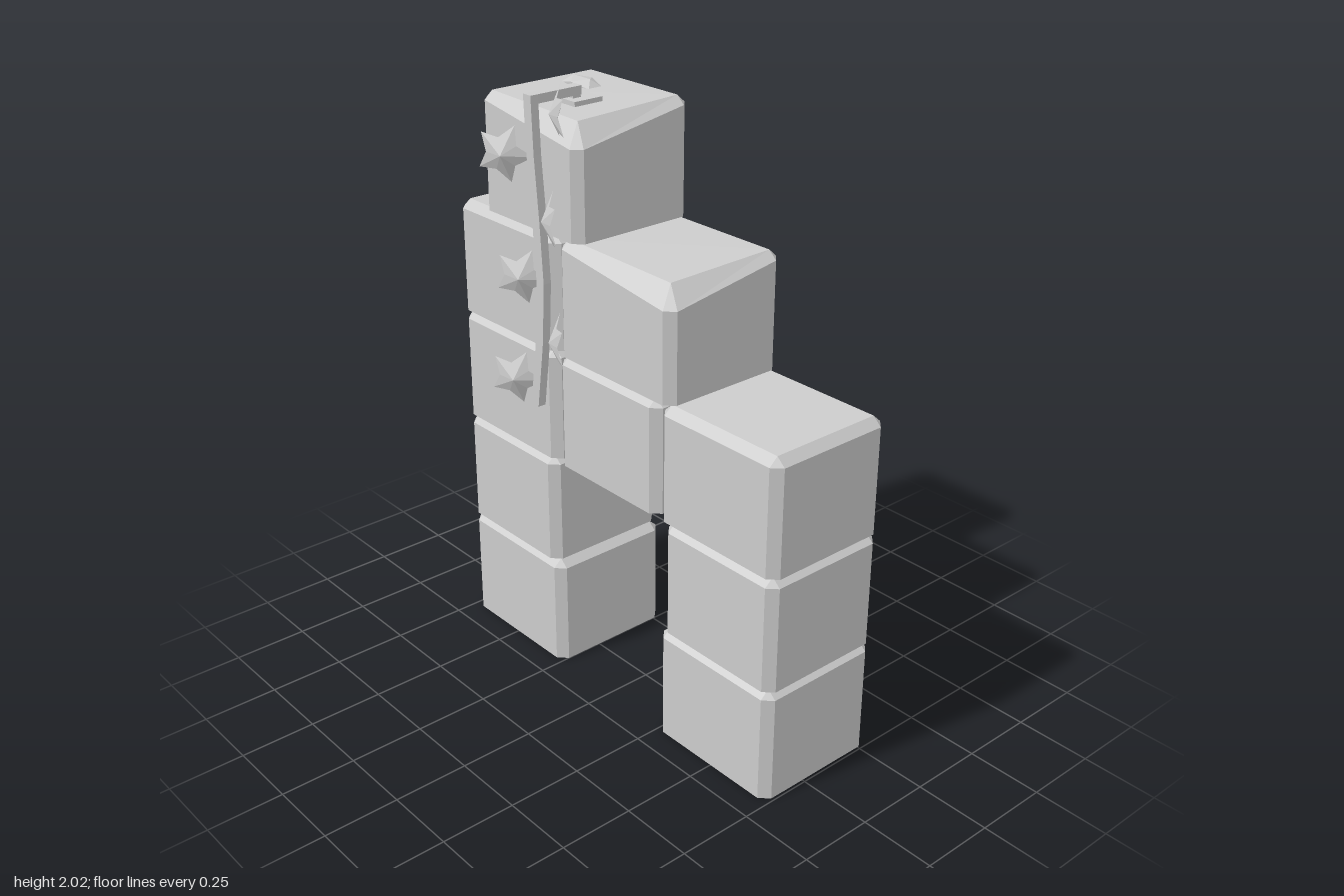
import * as THREE from 'three';

const stone = new THREE.MeshStandardMaterial({ name: 'pale grey', color: 0xcccccc, flatShading: true, side: THREE.DoubleSide });
const Z0 = -0.287, Z1 = 0.165;

function mesh(geometry, name, parent) {
  const m = new THREE.Mesh(geometry, stone);
  m.name = name;
  parent.add(m);
  return m;
}

// Builds a flat-shaded geometry from polygons given as lists of points
function fromFaces(faces) {
  const pos = [];
  for (const f of faces)
    for (let i = 1; i < f.length - 1; i++) pos.push(...f[0], ...f[i], ...f[i + 1]);
  const g = new THREE.BufferGeometry();
  g.setAttribute('position', new THREE.Float32BufferAttribute(pos, 3));
  g.computeVertexNormals();
  return g;
}

// Block with bevelled uprights and top; chip wears down the front right corner
function blockGeometry(x0, x1, y0, y1, chip) {
  const c = 0.03, m = y1 - 0.027;
  const outline = [
    [x0 + c, Z1], [x1 - c, Z1], [x1, Z1 - c], [x1, Z0 + c],
    [x1 - c, Z0], [x0 + c, Z0], [x0, Z0 + c], [x0, Z1 - c],
  ];
  const low = outline.map(([x, z]) => [x, y0, z]);
  const mid = outline.map(([x, z], i) => [x, i === 1 || i === 2 ? m - chip : m, z]);
  const k = chip ? 1 : 0;
  const top = [
    [x0 + c, y1, Z1 - c],
    [x1 - c - 0.028 * k, y1 - 0.022 * k, Z1 - c - 0.025 * k],
    [x1 - c, y1, Z0 + c], [x0 + c, y1, Z0 + c],
  ];
  const faces = [[...low].reverse(), top];
  for (let i = 0; i < 8; i++) {
    const j = (i + 1) % 8;
    faces.push([low[i], low[j], mid[j], mid[i]]);
    const a = Math.ceil(i / 2) % 4;
    // even sides meet a top edge, odd sides a top corner
    if (i % 2 === 0) faces.push([mid[i], mid[j], top[(a + 1) % 4], top[a]]);
    else faces.push([mid[i], mid[j], top[a]]);
  }
  return fromFaces(faces);
}

// Five-pointed leaf with a raised middle
function leafGeometry(outer, inner, roll) {
  const ring = [];
  for (let i = 0; i < 10; i++) {
    const a = roll + i * Math.PI / 5, r = i % 2 ? inner : outer;
    ring.push([r * Math.cos(a), r * Math.sin(a), i % 2 ? 0 : -0.015]);
  }
  return fromFaces(ring.map((p, i) => [[0, 0, 0.025], p, ring[(i + 1) % 10]]));
}

export function createModel() {
  const model = new THREE.Group();
  model.name = 'ruinedArch';

  // Stone blocks: x0, x1, y0, y1, chip
  const blocks = new THREE.Group();
  blocks.name = 'stoneBlocks';
  model.add(blocks);
  [
    ['leftFootBlock', 0.245, 0.74, 0, 0.387, 0],
    ['leftPillarBlock', 0.265, 0.74, 0.39, 0.773, 0],
    ['leftCornerBlock', 0.245, 0.74, 0.777, 1.16, 0],
    ['lintelBlock', -0.237, 0.235, 0.777, 1.16, 0],
    ['rightFootBlock', -0.745, -0.25, 0, 0.387, 0],
    ['rightPillarBlock', -0.745, -0.27, 0.39, 0.773, 0],
    ['rightCornerBlock', -0.745, -0.25, 0.777, 1.16, 0],
    ['rightUpperBlock', -0.745, -0.237, 1.163, 1.546, 0],
    ['chippedUpperBlock', -0.227, 0.295, 1.163, 1.546, 0.06],
    ['topBlock', -0.597, -0.12, 1.549, 1.932, 0.065],
  ].forEach(([name, ...size]) => mesh(blockGeometry(...size), name, blocks));

  // Hanging vine: a flat strip running over the top edge and down the front
  const vine = new THREE.Group();
  vine.name = 'vine';
  model.add(vine);
  const path = [[-0.3, 1.98], [-0.293, 1.8], [-0.275, 1.6], [-0.262, 1.4], [-0.275, 1.2], [-0.308, 0.97]];
  const h = 0.018;
  const edge = [...path.map(([x, y]) => [x - h, y]), ...path.map(([x, y]) => [x + h, y]).reverse()];
  const strip = new THREE.Shape(edge.map(([x, y]) => new THREE.Vector2(x, y)));
  const stem = new THREE.ExtrudeGeometry(strip, { depth: 0.028, bevelEnabled: false });
  mesh(stem, 'vineStem', vine).position.z = 0.174;
  mesh(new THREE.BoxGeometry(0.036, 0.028, 0.18), 'vineHook', vine).position.set(-0.3, 1.966, 0.1);
  mesh(new THREE.BoxGeometry(0.034, 0.045, 0.03), 'vineRoot', vine).position.set(-0.3, 1.946, 0.028);
  mesh(new THREE.BoxGeometry(0.106, 0.015, 0.106), 'vineBase', vine).position.set(-0.3, 1.937, 0.012);

  // Leaves on alternate sides, each turned in toward the stem: x, y, z, side
  [
    [-0.205, 1.935, 0.165, 1], [-0.38, 1.79, 0.24, -1], [-0.19, 1.62, 0.215, 1],
    [-0.345, 1.4, 0.215, -1], [-0.19, 1.225, 0.2, 1], [-0.378, 1.05, 0.225, -1],
  ].forEach(([x, y, z, side]) => {
    const roll = side < 0 ? -1.34 : 4.48;
    const leaf = mesh(leafGeometry(0.093, 0.052, roll), 'leaf', vine);
    leaf.position.set(x, y, z);
    leaf.rotation.y = side * -0.62;
  });

  // Small pebble lying on the top block
  const pebble = mesh(new THREE.IcosahedronGeometry(1, 0), 'pebble', model);
  pebble.scale.set(0.08, 0.028, 0.05);
  pebble.position.set(-0.445, 1.93, -0.12);
  return model;
}
